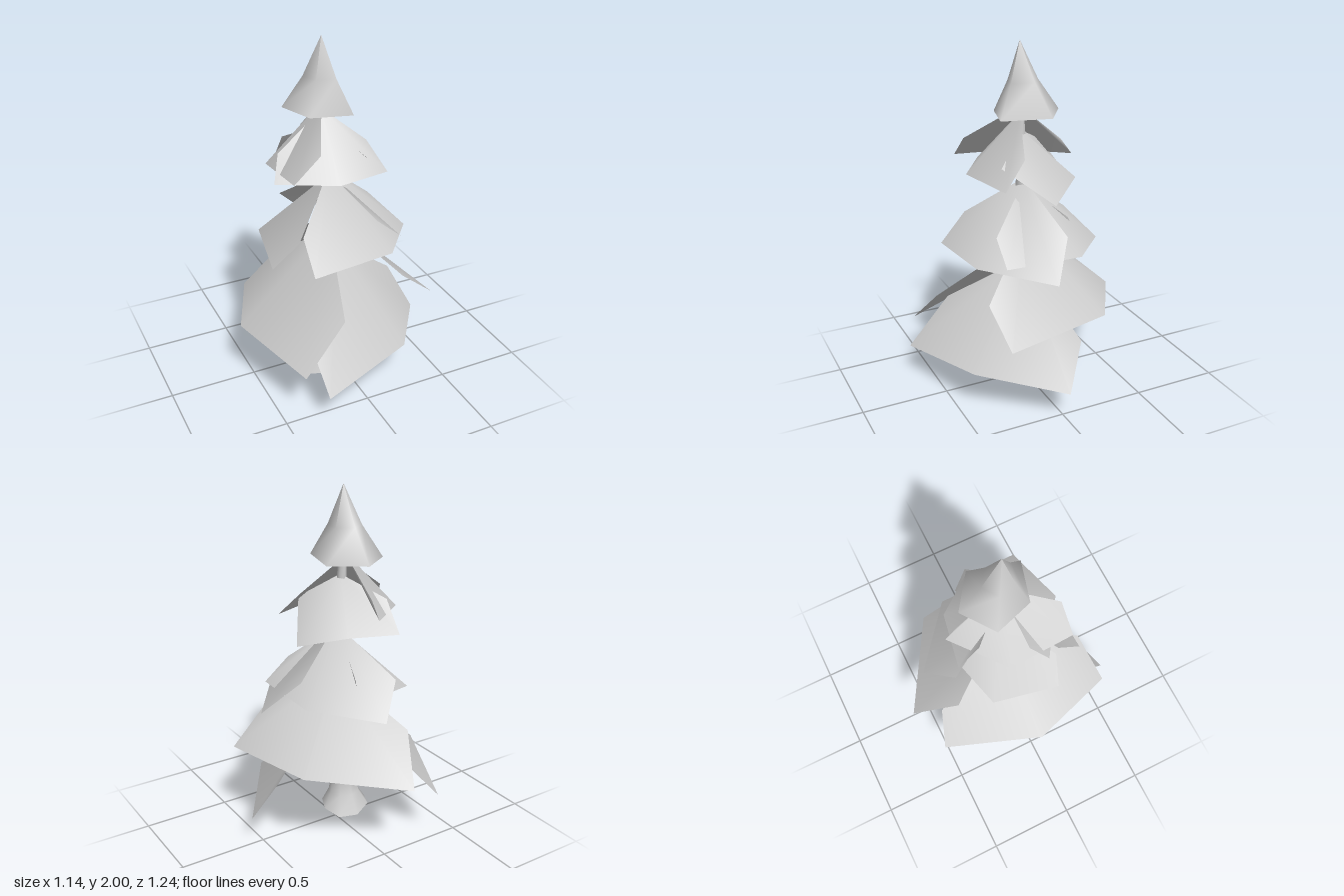
import * as THREE from 'three';

const material = new THREE.MeshStandardMaterial({ color: 0xcccccc, side: THREE.DoubleSide });

function makeMesh(name, points, index) {
  const geometry = new THREE.BufferGeometry();
  geometry.setAttribute('position', new THREE.Float32BufferAttribute(points.flat(), 3));
  geometry.setIndex(index);
  geometry.computeVertexNormals();
  const mesh = new THREE.Mesh(geometry, material);
  mesh.name = name;
  return mesh;
}

// Draped sheet: a fan from the apex to an open rim, listed counterclockwise from above
function bough(name, apex, rim) {
  const index = [];
  for (let i = 1; i < rim.length; i++) index.push(0, i, i + 1);
  return makeMesh(name, [apex, ...rim], index);
}

// Skin of rings with equal point counts, listed from bottom to top
function loft(name, rings) {
  const n = rings[0].length, index = [];
  for (let r = 0; r < rings.length - 1; r++) {
    for (let i = 0; i < n; i++) {
      const a = r * n + i, b = r * n + (i + 1) % n;
      index.push(a, b, b + n, a, b + n, a + n);
    }
  }
  return makeMesh(name, rings.flat(), index);
}

// Each tier has three overlapping sheets: shoulder, three corners, shoulder
const tiers = {
  lowerBough: [
    [[0.03, 0.77, 0.02], [[-0.31, 0.45, 0.36], [-0.29, 0.185, 0.615], [0.27, 0.245, 0.43], [0.57, 0.17, -0.01], [0.46, 0.42, -0.13]]],
    [[-0.01, 0.87, 0.01], [[-0.18, 0.49, -0.46], [-0.35, 0.285, -0.53], [-0.575, 0.375, 0.025], [-0.4, 0.31, 0.55], [-0.14, 0.56, 0.485]]],
    [[0, 0.95, 0], [[0.29, 0.66, 0.345], [0.51, 0.475, 0.31], [0.405, 0.51, -0.31], [-0.105, 0.43, -0.62], [-0.24, 0.66, -0.37]]],
  ],
  middleBough: [
    [[-0.01, 1.24, 0], [[-0.275, 0.99, 0.25], [-0.275, 0.82, 0.4], [0.2, 0.845, 0.375], [0.475, 0.79, 0.02], [0.3, 0.98, -0.12]]],
    [[-0.01, 1.22, 0], [[0.17, 0.99, 0.245], [0.32, 0.865, 0.25], [0.32, 0.855, -0.2], [-0.01, 0.8, -0.48], [-0.17, 0.97, -0.34]]],
    [[-0.02, 1.2, 0], [[0.04, 0.98, -0.26], [0.05, 0.86, -0.31], [-0.36, 0.84, -0.2], [-0.43, 0.8, 0.185], [-0.29, 0.95, 0.23]]],
  ],
  upperBough: [
    [[-0.05, 1.6, 0], [[-0.32, 1.4, 0.03], [-0.38, 1.27, 0.12], [-0.085, 1.285, 0.31], [0.24, 1.265, 0.22], [0.18, 1.41, 0.08]]],
    [[-0.03, 1.51, 0], [[0.125, 1.36, 0.19], [0.285, 1.165, -0.055], [0.1, 1.24, -0.27], [-0.2, 1.22, -0.325], [-0.2, 1.39, -0.2]]],
    [[-0.05, 1.64, 0], [[-0.06, 1.42, -0.26], [-0.06, 1.325, -0.33], [-0.345, 1.3, -0.09], [-0.335, 1.325, 0.28], [-0.185, 1.46, 0.28]]],
  ],
};

export function createModel() {
  const tree = new THREE.Group();
  tree.name = 'tree';

  for (const [name, sheets] of Object.entries(tiers)) {
    const tier = new THREE.Group();
    tier.name = name + 's';
    sheets.forEach(([apex, rim], i) => tier.add(bough(name + (i + 1), apex, rim)));
    tree.add(tier);
  }

  // Five-sided open cap, slightly flared
  const rim = [[0.06, 1.6, 0.165], [0.13, 1.6, -0.11], [-0.055, 1.6, -0.24], [-0.235, 1.6, -0.11], [-0.165, 1.6, 0.105]];
  const scaled = (f, y) => rim.map(([x, , z]) => [-0.05 + (x + 0.05) * f, y, z * f]);
  tree.add(loft('treeTop', [rim, scaled(0.46, 1.78), scaled(0, 2)]));

  // Leaning trunk with a flared, uneven foot: [y, x, z, radius]
  const sections = [
    [0.02, -0.105, 0.06, 0.145], [0.12, -0.1, 0.065, 0.095], [0.21, -0.1, 0.07, 0.075],
    [0.55, -0.09, 0.055, 0.065], [0.85, -0.06, 0.03, 0.055], [1.22, -0.02, 0, 0.04], [1.66, -0.05, 0, 0.02],
  ];
  const sides = 8;
  const rings = sections.map(([y, x, z, r], k) => Array.from({ length: sides }, (_, i) => {
    const a = (i / sides) * Math.PI * 2;
    const lift = k === 0 ? 0.02 * Math.sin(a * 2 - 0.6) : 0;
    return [x + Math.sin(a) * r, y + lift, z + Math.cos(a) * r * 0.95];
  }));
  tree.add(loft('trunk', rings));
  tree.add(bough('trunkFoot', [-0.105, 0.02, 0.06], [...rings[0], rings[0][0]].reverse()));

  return tree;
}
